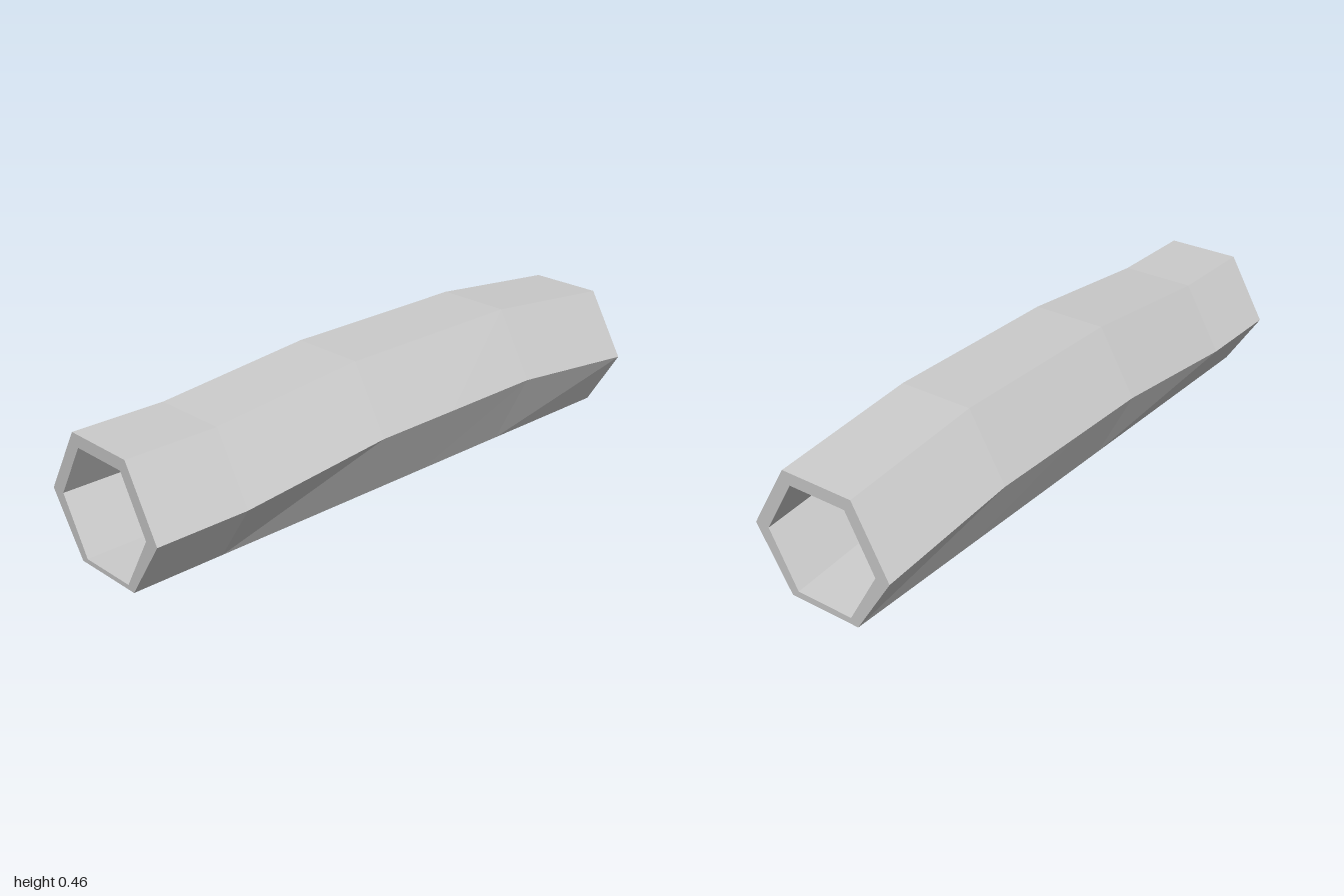
import * as THREE from 'three';

const material = new THREE.MeshStandardMaterial({ color: 0xcccccc, flatShading: true, side: THREE.DoubleSide });

// Stations along the trunk: z, and how far the arch lifts the section there
const stations = [[1, 0], [0.69, 0], [0.16, 0.052], [-0.14, 0.054], [-0.5, 0.057], [-1, 0.006]];

// Hexagonal sections, counter-clockwise seen from the front; the first two corners are the base
const outer = [[-0.125, 0], [0.125, 0], [0.25, 0.19], [0.125, 0.405], [-0.125, 0.405], [-0.25, 0.19]];
const inner = [[-0.1, 0.015], [0.1, 0.015], [0.2, 0.19], [0.1, 0.365], [-0.1, 0.365], [-0.2, 0.19]];

function ring(section, [z, lift], groundBase) {
  return section.map(([x, y], i) => {
    const height = y + (groundBase && i < 2 ? 0 : lift);
    // the rear cut leans very slightly forward
    return [x, height, z === -1 ? z + 0.015 * height : z];
  });
}

function hollowTrunk() {
  const points = [];
  const band = (a, b) => {
    for (let i = 0; i < 6; i++) {
      const j = (i + 1) % 6;
      points.push(...a[i], ...b[i], ...b[j], ...a[i], ...b[j], ...a[j]);
    }
  };
  const outside = stations.map((s) => ring(outer, s, true));
  const inside = stations.map((s) => ring(inner, s, false));
  const last = stations.length - 1;
  for (let k = 0; k < last; k++) {
    band(outside[k], outside[k + 1]);
    band(inside[k + 1], inside[k]);
  }
  // rims at both ends
  band(inside[0], outside[0]);
  band(outside[last], inside[last]);
  const geometry = new THREE.BufferGeometry();
  geometry.setAttribute('position', new THREE.Float32BufferAttribute(points, 3));
  geometry.computeVertexNormals();
  const mesh = new THREE.Mesh(geometry, material);
  mesh.name = 'hollowTrunk';
  return mesh;
}

const lathe = (profile) => new THREE.LatheGeometry(profile.map(([x, y]) => new THREE.Vector2(x, y)), 8, Math.PI / 8);

// Mushroom whose cap rim sits at (x, y, z); its stem bends outwards into the wall
function mushroom(name, x, y, z, r, h, reach, tilt = 0) {
  const group = new THREE.Group();
  group.name = name;
  group.position.set(x, y, z);

  const head = new THREE.Group();
  head.name = 'head';
  head.rotation.z = tilt;
  const cap = new THREE.Mesh(
    lathe([[0, -0.1 * r], [0.5 * r, -0.14 * r], [r, 0], [0.78 * r, 0.6 * h], [0.4 * r, h], [0, h]]), material);
  cap.name = 'cap';
  const collar = new THREE.Mesh(
    lathe([[0.18 * r, -0.28 * r], [0.4 * r, -0.26 * r], [0.26 * r, -0.1 * r]]), material);
  collar.name = 'collar';
  head.add(cap, collar);

  const side = Math.sign(x);
  const curve = new THREE.CatmullRomCurve3([
    new THREE.Vector3(0, -0.1 * r, 0),
    new THREE.Vector3(side * 0.1 * r, -0.42 * r, 0),
    new THREE.Vector3(side * reach * 0.45, -0.56 * r, 0),
    new THREE.Vector3(side * reach, -0.5 * r, 0),
  ]);
  const stem = new THREE.Mesh(new THREE.TubeGeometry(curve, 6, 0.16 * r, 6), material);
  stem.name = 'stem';
  group.add(head, stem);
  return group;
}

export function createModel() {
  const model = new THREE.Group();
  model.name = 'hollowLog';
  model.add(hollowTrunk());

  // Clump on one wall
  const clump = new THREE.Group();
  clump.name = 'mushroomClump';
  clump.add(
    mushroom('wideMushroom', -0.117, 0.168, 0.73, 0.037, 0.032, 0.066),
    mushroom('leaningMushroom', -0.151, 0.169, 0.77, 0.032, 0.034, 0.034, 0.2),
    mushroom('tallMushroom', -0.127, 0.202, 0.71, 0.022, 0.018, 0.068),
    mushroom('smallMushroom', -0.131, 0.148, 0.75, 0.017, 0.014, 0.05),
    mushroom('tinyMushroom', -0.169, 0.149, 0.76, 0.013, 0.013, 0.014, 0.2),
  );
  model.add(clump);

  // Single one on the opposite wall
  model.add(mushroom('loneMushroom', 0.1, 0.172, 0.36, 0.052, 0.048, 0.065));
  return model;
}
